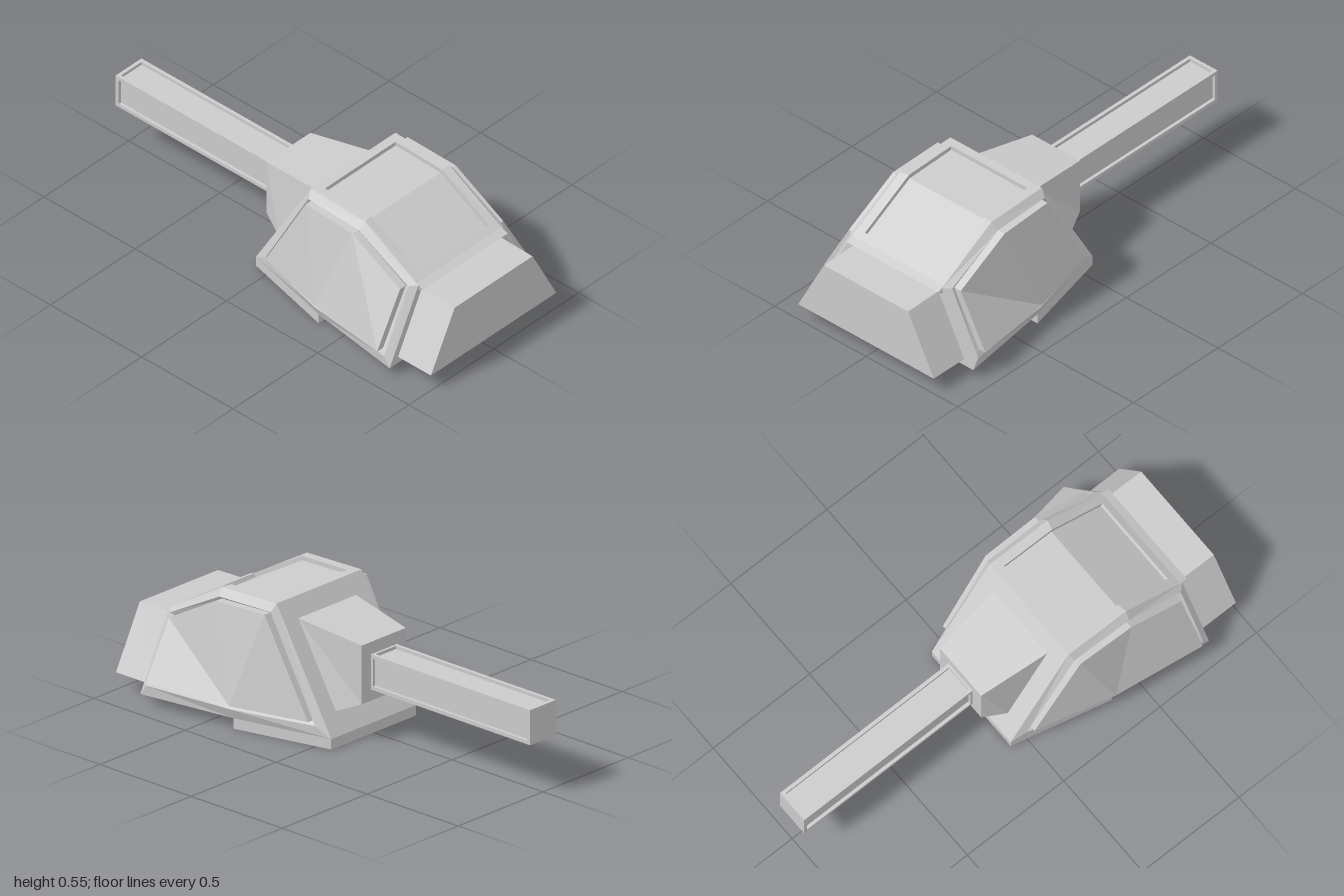
import * as THREE from 'three';

const material = new THREE.MeshStandardMaterial({ color: 0xcccccc, flatShading: true, side: THREE.DoubleSide });
const V = (x, y, z) => new THREE.Vector3(x, y, z);

// Mesh from lists of triangles, each triangle being three vectors
function meshOf(name, triangles) {
  const geometry = new THREE.BufferGeometry().setFromPoints(triangles.flat());
  geometry.computeVertexNormals();
  const mesh = new THREE.Mesh(geometry, material);
  mesh.name = name;
  return mesh;
}

const quad = (a, b, c, d) => [[a, b, c], [a, c, d]];

// Bands of quads between successive loops
function loft(loops) {
  const out = [];
  for (let k = 0; k + 1 < loops.length; k++) {
    const a = loops[k], b = loops[k + 1], n = a.length;
    for (let i = 0; i < n; i++) {
      const j = (i + 1) % n;
      out.push(...quad(a[i], a[j], b[j], b[i]));
    }
  }
  return out;
}

// Four-cornered face with a frame around a sunken panel
function sunkenFace(c, frame, depth) {
  const normal = c[1].clone().sub(c[0]).cross(c[2].clone().sub(c[0])).normalize();
  const inner = c.map((p, i) => {
    const next = c[(i + 1) % 4].clone().sub(p).normalize();
    const prev = c[(i + 3) % 4].clone().sub(p).normalize();
    const s = next.clone().cross(prev).length();
    return p.clone().addScaledVector(next.add(prev), frame / s);
  });
  const floor = inner.map(p => p.clone().addScaledVector(normal, -depth));
  return [...loft([c, inner, floor]), ...quad(...floor)];
}

// Symmetric loop: points on +x, then their mirrors in reverse order
const mirrored = pts => [...pts, ...pts.map(p => V(-p.x, p.y, p.z)).reverse()];
const flip = tris => tris.map(([a, b, c]) => [a, c, b]);

export function createModel() {
  const model = new THREE.Group();
  model.name = 'turret';

  // Side outline: front bottom, front top, roof front, roof back, back bottom, mid bottom
  const side = [V(0.42, 0.045, 0.82), V(0.25, 0.37, 0.82), V(0.25, 0.54, 0.53),
    V(0.25, 0.55, 0.23), V(0.25, 0.045, -0.07), V(0.355, 0.045, 0.37)];
  const rim = [V(0.42, 0.09, 0.79), V(0.278, 0.365, 0.79), V(0.278, 0.508, 0.52),
    V(0.275, 0.517, 0.24), V(0.27, 0.088, 0), V(0.372, 0.088, 0.37)];
  const plate = [V(0.44, 0.115, 0.77), V(0.305, 0.355, 0.77), V(0.305, 0.5, 0.51),
    V(0.3, 0.51, 0.25), V(0.29, 0.105, 0.02), V(0.38, 0.105, 0.37)];
  const groove = plate.map(p => V(p.x - 0.035, p.y, p.z));

  // Hull sides with raised rim and armour plates
  for (const s of [1, -1]) {
    const m = pts => pts.map(p => V(p.x * s, p.y, p.z));
    const [A, B, C, D, E, F] = m(plate);
    const fix = t => (s > 0 ? flip(t) : t);
    const front = s > 0 ? [[A, B, F], [B, C, F]] : [[A, B, C], [A, C, F]];
    const name = s > 0 ? 'left' : 'right';
    model.add(meshOf(name + 'HullSide', fix(loft([m(side), m(rim), m(groove)]))));
    model.add(meshOf(name + 'ArmourPlate',
      fix([...loft([m(groove), m(plate)]), ...front, [C, D, F], [D, E, F]])));
  }

  // Roof with sunken hatch that folds over the front slope
  const hatch = [V(0.208, 0.394, 0.78), V(0.208, 0.541, 0.52), V(0.208, 0.549, 0.27)];
  const hatchFloor = [V(0.208, 0.378, 0.772), V(0.208, 0.522, 0.516), V(0.208, 0.53, 0.27)];
  const f = mirrored(hatchFloor);
  model.add(meshOf('roof', loft([mirrored(side.slice(1, 4)), mirrored(hatch), f])));
  model.add(meshOf('hatch', [...quad(f[0], f[1], f[4], f[5]), ...quad(f[1], f[2], f[3], f[4])]));

  // Front and back walls
  const [a, b, , d, e, g] = side;
  model.add(meshOf('frontWall', quad(...mirrored([a, b]))));
  model.add(meshOf('backWall', quad(...mirrored([d, e]))));

  // Underside: sunken front floor, then a lower base plate with its own recess
  const neg = p => V(-p.x, p.y, p.z);
  model.add(meshOf('frontFloor', sunkenFace([neg(a), neg(g), g, a], 0.04, 0.02)));
  const top = mirrored([g, e]);
  const low = top.map(p => V(p.x, 0, p.z));
  model.add(meshOf('basePlate', [...loft([low, top]),
    ...sunkenFace([low[3], low[2], low[1], low[0]], 0.04, 0.02)]));

  // Brow ledge above the nose
  const browBack = mirrored([V(0.262, 0.345, 0.8), V(0.25, 0.38, 0.8)]);
  const browFront = mirrored([V(0.245, 0.345, 0.825), V(0.25, 0.362, 0.845)]);
  model.add(meshOf('brow', [...loft([browBack, browFront]), ...quad(...browFront)]));

  // Nose block
  const noseBack = mirrored([V(0.37, 0.075, 0.8), V(0.23, 0.345, 0.8)]);
  const noseFront = mirrored([V(0.37, 0.075, 1), V(0.23, 0.34, 1)]);
  model.add(meshOf('nose', [...loft([noseBack, noseFront]), ...quad(...noseFront)]));
  const strip = [V(-0.35, 0.065, 0.85), V(0.35, 0.065, 0.85), V(0.35, 0.065, 0.98), V(-0.35, 0.065, 0.98)];
  model.add(meshOf('noseUnderside', [...loft([strip.map(p => V(p.x, 0.076, p.z)), strip]),
    ...sunkenFace(strip, 0.02, 0.008)]));

  // Gun mount tapering out of the back slope
  const mountBase = mirrored([V(0.17, 0.475, 0.185), V(0.17, 0.13, -0.02)]);
  const mountEnd = mirrored([V(0.13, 0.43, -0.125), V(0.13, 0.175, -0.125)]);
  model.add(meshOf('gunMount', [...loft([mountBase, mountEnd]), ...quad(...mountEnd)]));

  // Square barrel with a sunken panel along each side
  const barrel = new THREE.Group();
  barrel.name = 'barrel';
  barrel.position.y = 0.3;
  const r = 0.076;
  for (let i = 0; i < 4; i++) {
    const face = meshOf('barrelSide', sunkenFace(
      [V(-r, r, -0.12), V(r, r, -0.12), V(r, r, -1), V(-r, r, -1)], 0.016, 0.014));
    face.rotation.z = i * Math.PI / 2;
    barrel.add(face);
  }
  barrel.add(meshOf('muzzle', quad(V(-r, -r, -1), V(-r, r, -1), V(r, r, -1), V(r, -r, -1))));
  model.add(barrel);

  return model;
}
